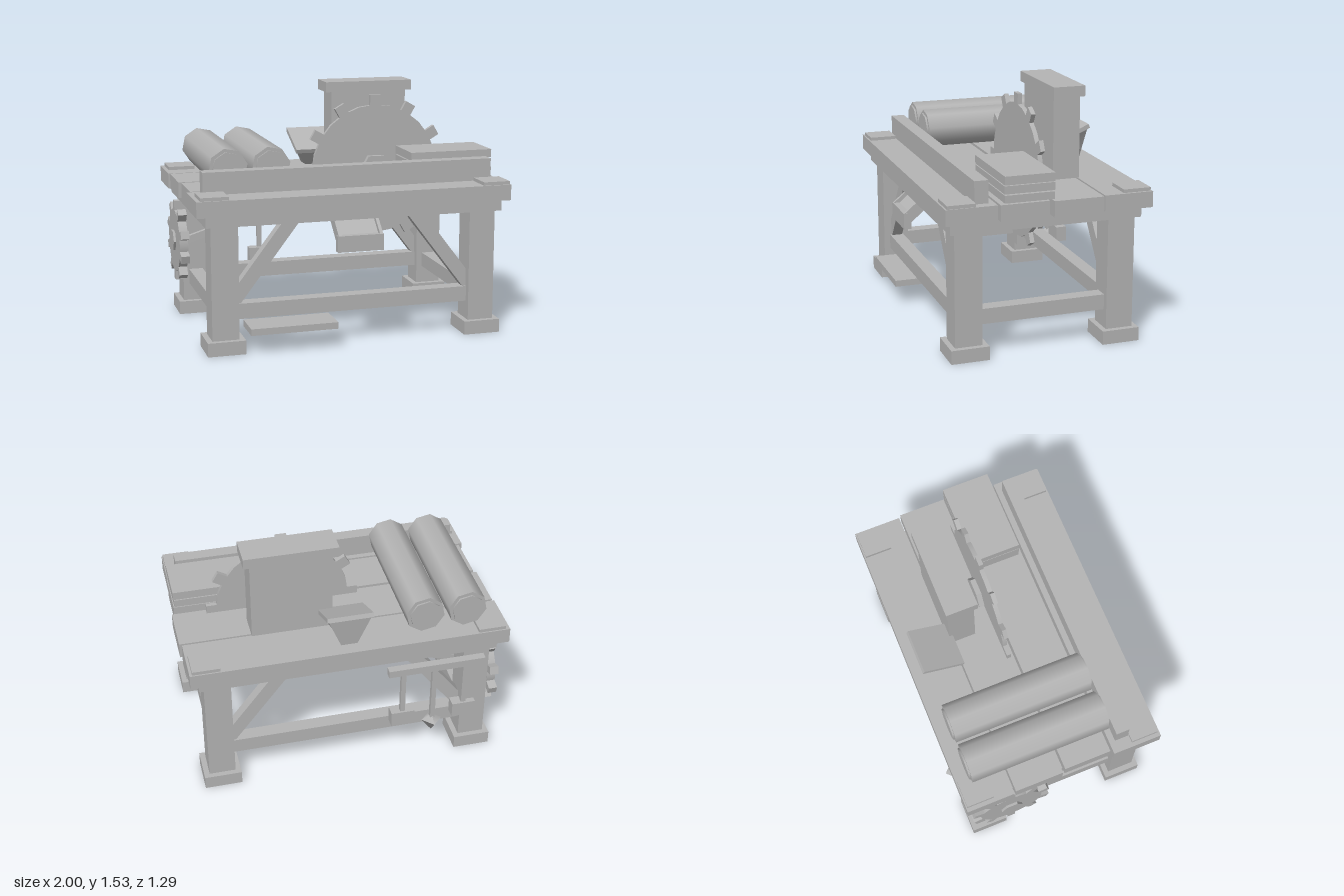
import * as THREE from 'three';

export function createModel() {
  const model = new THREE.Group();
  const grey = new THREE.MeshStandardMaterial({ color: 0xb4b4b4 });
  grey.name = 'plain grey';

  const add = (name, geometry, parent = model) => {
    const mesh = new THREE.Mesh(geometry, grey);
    mesh.name = name;
    parent.add(mesh);
    return mesh;
  };
  // Box given by its limits on each axis
  const block = (name, x0, x1, y0, y1, z0, z1) => {
    const mesh = add(name, new THREE.BoxGeometry(x1 - x0, y1 - y0, z1 - z0));
    mesh.position.set((x0 + x1) / 2, (y0 + y1) / 2, (z0 + z1) / 2);
    return mesh;
  };
  // Square bar running between two points
  const bar = (name, from, to, width, depth) => {
    const a = new THREE.Vector3(...from), b = new THREE.Vector3(...to);
    const mesh = add(name, new THREE.BoxGeometry(width, depth, a.distanceTo(b)));
    mesh.position.copy(a).add(b).multiplyScalar(0.5);
    mesh.lookAt(b);
    return mesh;
  };
  // Toothed wheel with its axis along z
  const wheel = (name, radius, thick, teeth, toothW, toothH, hubR, hubLength, phase) => {
    const group = new THREE.Group();
    group.name = name;
    model.add(group);
    add('disc', new THREE.CylinderGeometry(radius, radius, thick, 24).rotateX(Math.PI / 2), group);
    const hub = new THREE.CylinderGeometry(hubR, hubR, hubLength, 6).toNonIndexed();
    hub.computeVertexNormals();
    add('hub', hub.rotateX(Math.PI / 2).rotateZ(Math.PI / 2), group);
    for (let i = 0; i < teeth; i++) {
      const tooth = new THREE.BoxGeometry(toothW, toothH, thick);
      tooth.translate(0, radius + toothH / 2 - 0.01, 0).rotateZ(phase + (i / teeth) * Math.PI * 2);
      add('tooth', tooth, group);
    }
    return group;
  };

  // Legs, feet, corner plates and diagonal braces
  for (const s of [-1, 1]) {
    for (const z of [0.472, -0.484]) {
      const x = s * 0.817;
      block('leg', x - 0.083, x + 0.083, 0.08, 0.79, z - 0.085, z + 0.085);
      block('foot', x - 0.117, x + 0.117, 0, 0.085, z - 0.118, z + 0.118);
      const px = s * 0.884, pz = z > 0 ? 0.533 : -0.55;
      block('cornerPlate', px - 0.085, px + 0.085, 0.95, 0.974, pz - 0.086, pz + 0.086);
      bar('brace', [s * 0.77, 0.29, z], [s * 0.38, 0.8, z], 0.07, 0.085);
    }
    block('sideStretcher', s * 0.817 - 0.045, s * 0.817 + 0.045, 0.2, 0.295, -0.41, 0.4);
  }
  for (const z of [0.472, -0.484]) block('longStretcher', -0.74, 0.74, 0.2, 0.295, z - 0.045, z + 0.045);

  // Table top
  block('tableFrame', -0.935, 0.93, 0.785, 0.855, -0.598, 0.59);
  for (const [x0, x1, z0, z1] of [
    [-0.995, 0.985, -0.645, -0.34], [-0.985, 1, -0.327, -0.018],
    [-0.97, 0.98, 0.003, 0.303], [-0.995, 0.975, 0.318, 0.63],
  ]) block('plank', x0, x1, 0.855, 0.953, z0, z1);
  block('fence', -0.92, 0.915, 0.95, 1.09, 0.355, 0.44);

  // Stacked boards
  block('board', 0.45, 0.985, 0.962, 1.008, -0.025, 0.28);
  block('board', 0.445, 0.98, 1.014, 1.062, -0.027, 0.28);
  block('board', 0.445, 0.985, 1.068, 1.12, -0.027, 0.28);

  // Column with cap
  block('column', 0.053, 0.557, 0.95, 1.47, -0.348, -0.178);
  block('columnCap', 0.015, 0.595, 1.465, 1.53, -0.365, -0.165);

  // Saw blade and the smaller gear on the left-hand rear leg
  wheel('sawBlade', 0.42, 0.028, 12, 0.07, 0.072, 0.105, 0.095, 0).position.set(0.305, 0.972, -0.042);
  const gear = wheel('gear', 0.205, 0.055, 10, 0.052, 0.067, 0.07, 0.085, 0);
  gear.rotation.y = Math.PI / 2;
  gear.position.set(-0.937, 0.513, -0.345);
  bar('driveRod', [-0.94, 0.49, -0.345], [0.25, 0.87, -0.32], 0.035, 0.045);

  // Pair of eight-sided rollers
  for (const x of [-0.742, -0.475]) {
    const roller = new THREE.Group();
    roller.name = 'roller';
    roller.position.set(x, 1.09, -0.112);
    roller.rotation.z = 0.19;
    model.add(roller);
    const turn = (g) => g.rotateX(Math.PI / 2);
    add('rollerBody', turn(new THREE.CylinderGeometry(0.122, 0.122, 0.89, 8)), roller);
    add('rollerCore', turn(new THREE.CylinderGeometry(0.1, 0.1, 0.912, 8)), roller);
  }

  // Hopper: a tilted rim narrowing to a small mouth
  const hopper = new THREE.BoxGeometry(1, 1, 1);
  const p = hopper.attributes.position;
  for (let i = 0; i < p.count; i++) {
    const front = p.getZ(i) > 0, side = Math.sign(p.getX(i));
    if (p.getY(i) > 0) p.setXYZ(i, side * 0.135, front ? 1.05 : 1.16, front ? -0.345 : -0.58);
    else p.setXYZ(i, side * 0.05, 0.95, front ? -0.44 : -0.56);
  }
  hopper.computeVertexNormals();
  add('hopper', hopper);
  bar('hopperRim', [0, 1.058, -0.33], [0, 1.17, -0.588], 0.285, 0.028);

  // Front chute with lip and side rails
  bar('chute', [0, 0.84, 0.4], [0, 0.655, 0.62], 0.27, 0.05);
  for (const s of [-1, 1]) bar('chuteRail', [s * 0.13, 0.85, 0.41], [s * 0.13, 0.67, 0.625], 0.02, 0.07);
  block('chuteLip', -0.145, 0.143, 0.6, 0.7, 0.6, 0.648);

  // Low shelf at the front
  block('lowShelf', -0.68, -0.14, 0.125, 0.166, 0.42, 0.637);

  // Rack of hanging tools at the back
  block('toolRail', -0.86, -0.24, 0.69, 0.738, -0.625, -0.575);
  for (const x of [-0.345, -0.545, -0.745]) {
    const plumb = x === -0.545;
    block('toolRod', x - 0.015, x + 0.015, plumb ? 0.25 : 0.36, 0.7, -0.592, -0.562);
    if (!plumb) block('toolWeight', x - 0.075, x + 0.075, 0.275, 0.375, -0.605, -0.535);
  }
  const tip = add('plumbTip', new THREE.ConeGeometry(0.065, 0.09, 4).rotateX(Math.PI));
  tip.position.set(-0.545, 0.215, -0.577);
  const top = add('plumbTop', new THREE.ConeGeometry(0.065, 0.04, 4));
  top.position.set(-0.545, 0.28, -0.577);

  return model;
}
